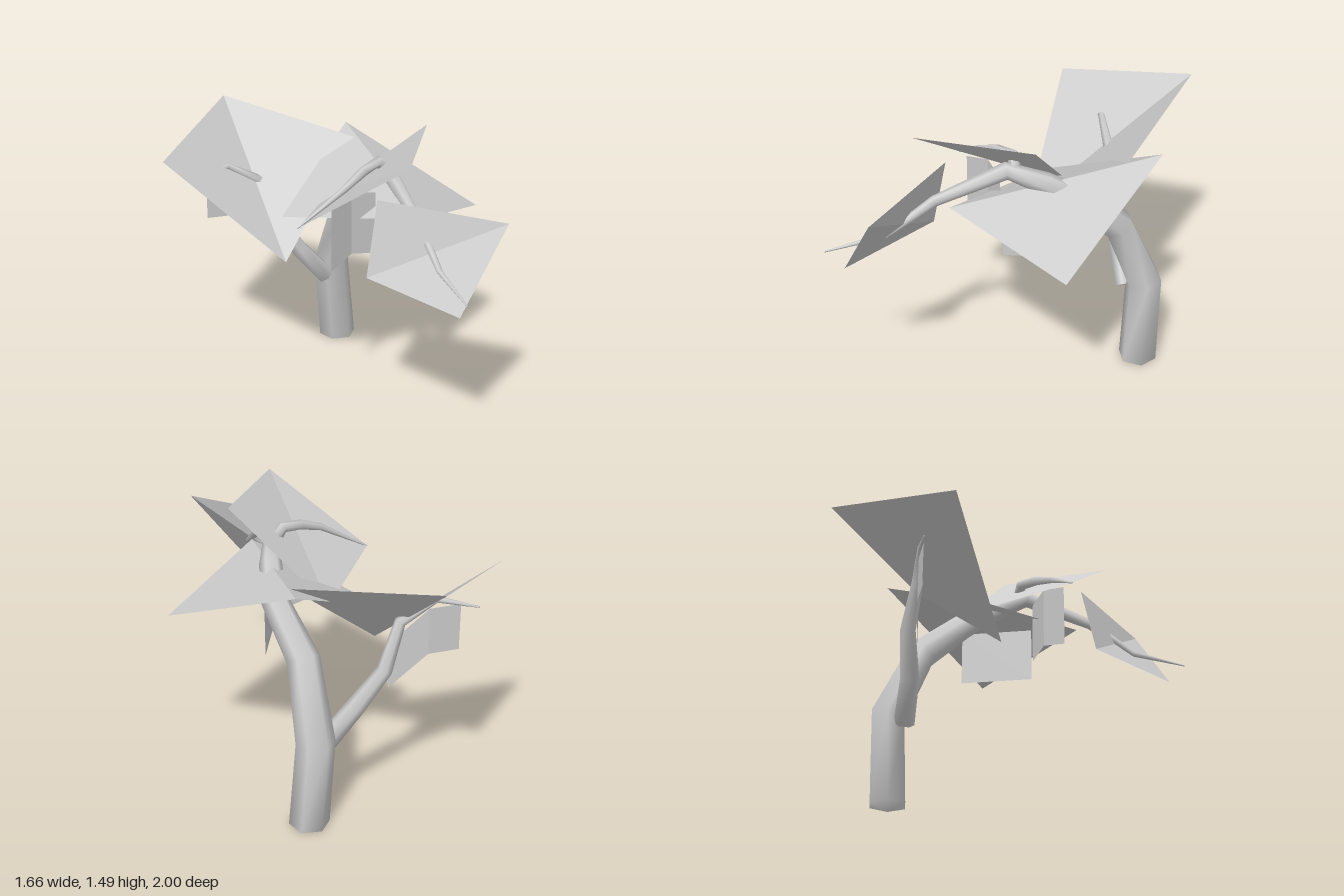
import * as THREE from 'three';

const V = (p) => new THREE.Vector3(p[0], p[1], p[2]);
const bark = new THREE.MeshStandardMaterial({ color: 0xcccccc });
const foliage = new THREE.MeshStandardMaterial({ color: 0xcccccc, side: THREE.DoubleSide, flatShading: true });

// Tapered limb: each ring is [x, y, z, radius]; ref fixes the ring orientation
function limb(name, rings, ref, startDir) {
  const sides = 6, pos = [], index = [];
  const c = rings.map(V);
  c.forEach((p, i) => {
    const t = i === 0 && startDir ? V(startDir)
      : c[Math.min(i + 1, c.length - 1)].clone().sub(c[Math.max(i - 1, 0)]).normalize();
    const u = V(ref).addScaledVector(t, -V(ref).dot(t)).normalize();
    const w = t.clone().cross(u);
    for (let k = 0; k < sides; k++) {
      const a = (k / sides) * Math.PI * 2;
      const q = p.clone()
        .addScaledVector(u, Math.cos(a) * rings[i][3])
        .addScaledVector(w, Math.sin(a) * rings[i][3]);
      pos.push(q.x, q.y, q.z);
      if (i < c.length - 1) {
        const A = i * sides + k, B = i * sides + (k + 1) % sides;
        index.push(A, B, B + sides, A, B + sides, A + sides);
      }
    }
  });
  // End caps
  const last = (c.length - 1) * sides;
  for (let k = 1; k < sides - 1; k++) {
    index.push(0, k + 1, k, last, last + k, last + k + 1);
  }
  const g = new THREE.BufferGeometry();
  g.setAttribute('position', new THREE.Float32BufferAttribute(pos, 3));
  g.setIndex(index);
  g.computeVertexNormals();
  const m = new THREE.Mesh(g, bark);
  m.name = name;
  return m;
}

function sheet(name, points, index) {
  const g = new THREE.BufferGeometry();
  g.setAttribute('position', new THREE.Float32BufferAttribute(points.flat(), 3));
  g.setIndex(index);
  g.computeVertexNormals();
  const m = new THREE.Mesh(g, foliage);
  m.name = name;
  return m;
}

// Four-cornered leaf creased from the first corner to the third
const leaf = (name, a, b, c, d) => sheet(name, [a, b, c, d], [0, 1, 2, 0, 2, 3]);

// Folded strip hanging down to the given lower points
function hanging(name, lower, height) {
  const upper = lower.map(([x, y, z]) => [x, y + height, z]);
  const n = lower.length, index = [];
  for (let i = 0; i < n - 1; i++) index.push(i, i + 1, n + i + 1, i, n + i + 1, n + i);
  return sheet(name, [...lower, ...upper], index);
}

export function createModel() {
  const tree = new THREE.Group();
  tree.name = 'tree';

  // Trunk arching forward into a thin drooping tip
  tree.add(limb('trunk', [
    [0.187, 0, -0.648, 0.105],
    [0.155, 0.485, -0.665, 0.1],
    [0.19, 0.87, -0.5, 0.085],
    [0.31, 1.11, -0.27, 0.07],
    [0.3, 1.21, -0.1, 0.058],
    [0.27, 1.28, 0.09, 0.045],
    [0.31, 1.16, 0.45, 0.028],
    [0.34, 1.0, 0.7, 0.016],
    [0.375, 0.955, 1.0, 0.004],
  ], [1, 0, 0], [0, 1, 0]));

  // Side branch
  tree.add(limb('sideBranch', [
    [0.1, 0.42, -0.58, 0.055],
    [-0.06, 0.61, -0.56, 0.05],
    [-0.2, 0.82, -0.58, 0.04],
    [-0.28, 1.06, -0.54, 0.03],
    [-0.46, 1.165, -0.53, 0.018],
    [-0.68, 1.1, -0.52, 0.004],
  ], [0, 0, 1]));

  // Twig on the crown of the arch
  tree.add(limb('topTwig', [
    [0.27, 1.26, 0.04, 0.035],
    [0.22, 1.34, 0.05, 0.03],
    [0.12, 1.32, 0.12, 0.026],
    [0, 1.265, 0.2, 0.018],
    [-0.26, 1.11, 0.27, 0.004],
  ], [0, 0, 1]));

  // Large creased leaves
  tree.add(leaf('sideLeaf',
    [-0.39, 1.415, -1], [-0.83, 1.28, -0.375], [-0.24, 0.755, -0.1], [0.25, 1.27, -0.53]));
  tree.add(leaf('middleLeaf',
    [0.25, 1.3, -0.7], [-0.24, 0.98, -0.19], [0.35, 1.14, 0.38], [0.83, 0.965, -0.12]));
  tree.add(leaf('topLeaf',
    [0.23, 1.475, 0.54], [0.5, 1.49, -0.02], [0.03, 1.04, -0.28], [-0.26, 1.11, 0.27]));
  tree.add(leaf('frontLeaf',
    [0.65, 1.25, 0.78], [0.12, 1.265, 0.375], [0.05, 0.88, 0.44], [0.375, 0.848, 0.91]));

  // Hanging strips under the leaves
  tree.add(hanging('sideHangingLeaf',
    [[-0.585, 0.875, -0.52], [-0.425, 0.87, -0.54], [-0.23, 0.69, -0.53]], 0.25));
  tree.add(hanging('frontHangingLeaf',
    [[-0.08, 0.84, 0.25], [0.05, 0.885, 0.155], [0.19, 0.855, 0.11]], 0.34));
  tree.add(hanging('middleHangingLeaf',
    [[0.26, 0.78, 0.11], [0.354, 0.78, -0.27]], 0.3));

  return tree;
}
